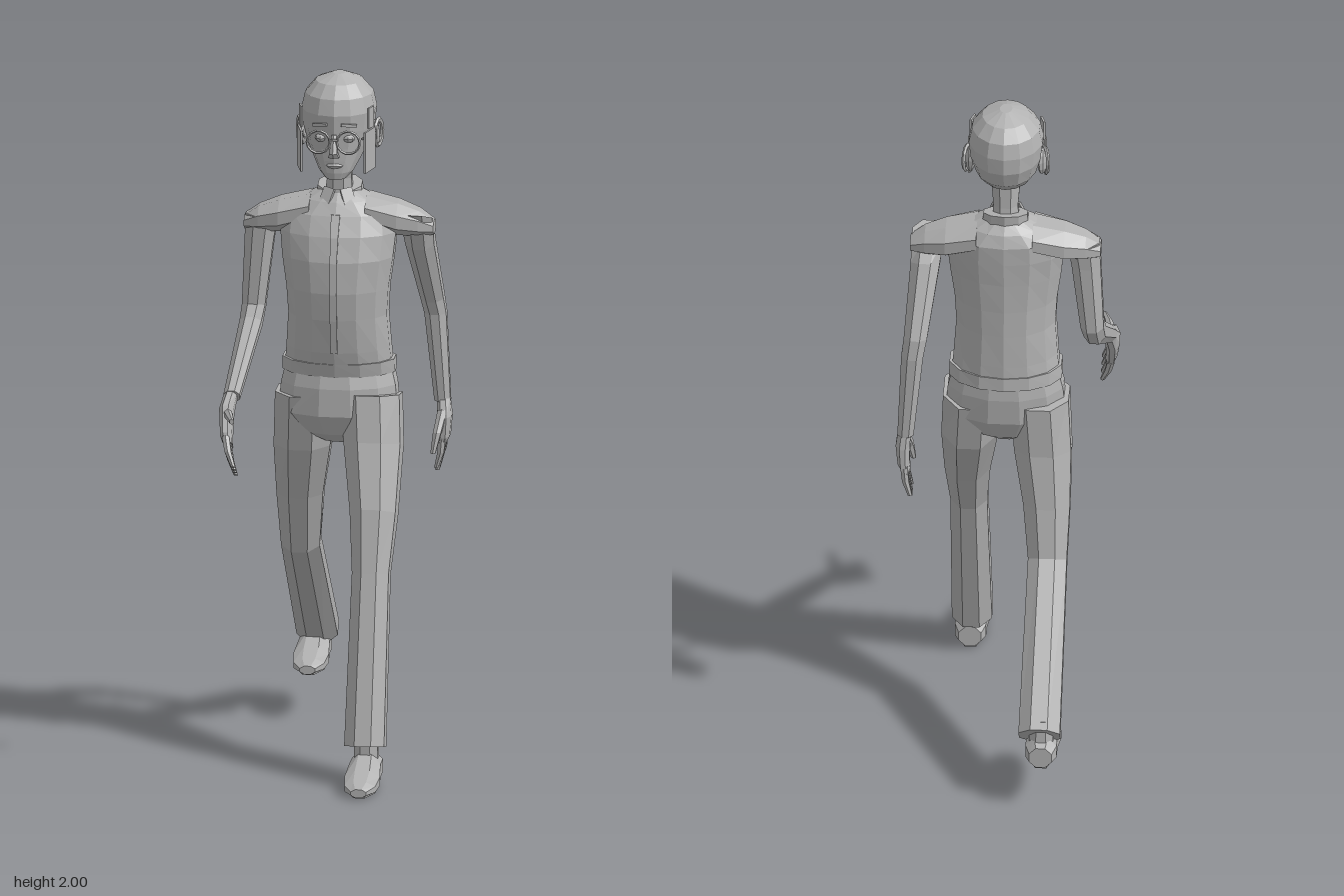
import * as THREE from 'three';

// Faceted skin over rings [x, y, z, halfX, halfZ, tilt]; tilt raises the front of the ring
function loft(rings, sides = 8) {
  const pts = rings.map(([x, y, z, a, b, tilt = 0]) =>
    Array.from({ length: sides }, (_, i) => {
      const t = ((i + 0.5) / sides) * Math.PI * 2;
      const d = b * Math.sin(t);
      return new THREE.Vector3(x + a * Math.cos(t), y + d * Math.sin(tilt), z + d * Math.cos(tilt));
    }));
  const tris = [];
  for (let r = 0; r < rings.length - 1; r++) {
    for (let i = 0; i < sides; i++) {
      const j = (i + 1) % sides;
      tris.push([pts[r][i], pts[r + 1][i], pts[r + 1][j]], [pts[r][i], pts[r + 1][j], pts[r][j]]);
    }
  }
  const last = pts[pts.length - 1];
  for (let i = 1; i < sides - 1; i++) {
    tris.push([pts[0][0], pts[0][i], pts[0][i + 1]], [last[0], last[i + 1], last[i]]);
  }
  // Turn the skin outward whichever way the rings run
  const volume = tris.reduce((v, [a, b, c]) => v + a.dot(b.clone().cross(c)), 0);
  const flat = [];
  for (const [a, b, c] of tris) {
    for (const p of volume < 0 ? [a, c, b] : [a, b, c]) flat.push(p.x, p.y, p.z);
  }
  const geo = new THREE.BufferGeometry();
  geo.setAttribute('position', new THREE.Float32BufferAttribute(flat, 3));
  geo.computeVertexNormals();
  return geo;
}

function faceted(geo) {
  const g = geo.index ? geo.toNonIndexed() : geo;
  g.computeVertexNormals();
  return g;
}

export function createModel() {
  const model = new THREE.Group();
  const grey = new THREE.MeshStandardMaterial({ color: 0xb2b2b2 });
  grey.name = 'plain grey';

  const add = (name, geo, pos = [0, 0, 0], rot = [0, 0, 0], scale = [1, 1, 1]) => {
    const mesh = new THREE.Mesh(geo, grey);
    mesh.name = name;
    mesh.position.set(...pos);
    mesh.rotation.set(...rot);
    mesh.scale.set(...scale);
    model.add(mesh);
    return mesh;
  };

  // Shirt
  add('shirt', loft([
    [0, 1.135, 0.005, 0.158, 0.11], [0, 1.2, 0.015, 0.152, 0.118], [0, 1.3, 0.025, 0.145, 0.125],
    [0, 1.38, 0.03, 0.15, 0.128], [0, 1.47, 0.027, 0.163, 0.125], [0, 1.54, 0.015, 0.17, 0.115],
    [0, 1.595, 0, 0.165, 0.1], [0, 1.63, -0.005, 0.11, 0.08], [0, 1.655, -0.005, 0.06, 0.055],
  ], 14));
  add('shirtHem', loft([
    [0, 1.125, 0.003, 0.165, 0.113], [0, 1.165, 0.01, 0.164, 0.117],
  ], 14));
  add('placket', loft([
    [0, 1.2, 0.132, 0.014, 0.006], [0, 1.3, 0.149, 0.014, 0.006], [0, 1.38, 0.157, 0.014, 0.006],
    [0, 1.47, 0.151, 0.014, 0.006], [0, 1.54, 0.129, 0.016, 0.006], [0, 1.6, 0.096, 0.018, 0.006],
  ], 4));

  // Collar and neck
  add('neck', loft([
    [0, 1.6, -0.005, 0.045, 0.04], [0, 1.69, 0.003, 0.038, 0.036], [0, 1.77, 0.015, 0.045, 0.045],
  ], 8));
  add('collar', loft([
    [0, 1.625, -0.005, 0.07, 0.06, -0.25], [0, 1.668, -0.01, 0.066, 0.058, -0.25],
    [0, 1.668, -0.01, 0.05, 0.045, -0.25],
  ], 10));
  for (const s of [1, -1]) {
    add('collarPoint', new THREE.BoxGeometry(0.035, 0.06, 0.008), [s * 0.032, 1.64, 0.058], [-0.5, s * 0.4, s * 0.35]);
  }

  // Shoulder caps
  for (const s of [1, -1]) {
    const cap = loft([
      [-s * 1.6, 0.08, -0.005, 0.045, 0.09], [-s * 1.575, 0.17, -0.002, 0.05, 0.08],
      [-s * 1.562, 0.23, 0, 0.04, 0.058], [-s * 1.55, 0.272, 0, 0.022, 0.036],
    ], 8);
    add('shoulder', cap, [0, 0, 0], [0, 0, -s * Math.PI / 2]);
  }

  // Arms: left swings back, right swings forward
  add('leftArm', loft([
    [0.222, 1.575, 0.01, 0.05, 0.05, 0.4], [0.228, 1.5, -0.025, 0.045, 0.048, -0.4],
    [0.25, 1.31, -0.13, 0.036, 0.042, -0.25], [0.258, 1.26, -0.14, 0.034, 0.038, 0],
    [0.277, 1.0, -0.148, 0.025, 0.028, 0],
  ]));
  add('rightArm', loft([
    [-0.222, 1.575, 0, 0.05, 0.05], [-0.23, 1.5, 0, 0.045, 0.046],
    [-0.247, 1.3, -0.005, 0.036, 0.042, 0.3], [-0.252, 1.255, 0.025, 0.034, 0.042, 0.7],
    [-0.277, 1.1, 0.265, 0.025, 0.027, 0.95],
  ]));

  // Left hand, hanging down
  add('leftPalm', loft([
    [0.28, 1.01, -0.146, 0.02, 0.024], [0.285, 0.96, -0.135, 0.022, 0.045],
    [0.283, 0.9, -0.138, 0.018, 0.045], [0.277, 0.88, -0.14, 0.014, 0.042],
  ]));
  for (let i = 0; i < 4; i++) {
    const z = -0.108 - i * 0.021;
    const tip = 0.81 - (i === 1 || i === 2 ? 0.012 : 0);
    add('leftFinger', loft([
      [0.28, 0.9, z, 0.012, 0.011], [0.276, 0.855, z, 0.011, 0.011], [0.263, tip, z - 0.003, 0.007, 0.007],
    ], 6));
  }
  add('leftThumb', loft([
    [0.28, 0.975, -0.115, 0.015, 0.018, 0.5], [0.27, 0.92, -0.072, 0.013, 0.015, 0.4],
    [0.26, 0.865, -0.056, 0.008, 0.009, 0.1],
  ], 6));

  // Right hand, reaching forward
  add('rightPalm', loft([
    [-0.28, 1.105, 0.257, 0.02, 0.023, 0.9], [-0.287, 1.065, 0.3, 0.022, 0.043, 0.7],
    [-0.282, 1.0, 0.345, 0.018, 0.048, 0.6], [-0.276, 0.98, 0.355, 0.014, 0.044, 0.6],
  ]));
  for (let i = 0; i < 4; i++) {
    const z = 0.38 - i * 0.02;
    const y = 1.012 - i * 0.013;
    add('rightFinger', loft([
      [-0.28, y, z, 0.012, 0.011, 0.5], [-0.271, y - 0.04, z + 0.02, 0.011, 0.011, 0.5],
      [-0.254, y - 0.08, z + 0.036, 0.007, 0.007, 0.5],
    ], 6));
  }
  add('rightThumb', loft([
    [-0.285, 1.065, 0.31, 0.014, 0.017, 1.2], [-0.272, 1.07, 0.37, 0.012, 0.014, 1.45],
    [-0.257, 1.068, 0.425, 0.007, 0.008, 1.6],
  ], 6));

  // Trousers
  add('trouserSeat', loft([
    [0, 1.15, 0.003, 0.155, 0.105], [0, 1.09, 0.008, 0.17, 0.116],
    [0, 1.01, 0.012, 0.178, 0.115], [0, 0.95, 0.01, 0.12, 0.085], [0, 0.92, 0.01, 0.05, 0.045],
  ], 12));
  add('leftTrouserLeg', loft([
    [0.095, 1.06, 0.02, 0.09, 0.112, 0.15], [0.104, 0.92, 0.055, 0.088, 0.118, 0.25],
    [0.117, 0.74, 0.152, 0.071, 0.095, 0.35], [0.118, 0.58, 0.22, 0.057, 0.07, 0.25],
    [0.117, 0.105, 0.35, 0.062, 0.074, 0.22],
  ]));
  add('rightTrouserLeg', loft([
    [-0.098, 1.06, 0, 0.09, 0.11], [-0.108, 0.9, -0.025, 0.088, 0.09, -0.1],
    [-0.122, 0.74, -0.075, 0.072, 0.066, -0.15], [-0.127, 0.58, -0.125, 0.06, 0.055, -0.55],
    [-0.127, 0.222, -0.505, 0.064, 0.06, -0.85],
  ]));

  // Ankles and shoes
  const foot = (side, x, y, z) => {
    add(side + 'Ankle', loft([
      [x, y + 0.15, z + 0.055, 0.035, 0.037], [x, y + 0.05, z + 0.05, 0.038, 0.04],
    ]));
    add(side + 'Shoe', loft([
      [x, y + 0.042, z, 0.035, 0.034, Math.PI / 2], [x, y + 0.047, z + 0.03, 0.048, 0.05, Math.PI / 2],
      [x, y + 0.046, z + 0.085, 0.048, 0.05, Math.PI / 2], [x, y + 0.031, z + 0.15, 0.055, 0.033, Math.PI / 2],
      [x, y + 0.022, z + 0.205, 0.048, 0.022, Math.PI / 2], [x, y + 0.017, z + 0.24, 0.024, 0.013, Math.PI / 2],
    ]));
    add(side + 'Sole', loft([
      [x, y, z + 0.12, 0.042, 0.115], [x, y + 0.014, z + 0.12, 0.045, 0.118],
    ], 8));
  };
  foot('left', 0.122, 0, 0.31);
  foot('right', -0.132, 0.13, -0.545);

  // Head
  add('head', loft([
    [0, 1.71, 0.088, 0.03, 0.035], [0, 1.73, 0.07, 0.05, 0.058], [0, 1.765, 0.04, 0.07, 0.09],
    [0, 1.8, 0.02, 0.088, 0.11], [0, 1.85, 0.012, 0.102, 0.122], [0, 1.9, 0.013, 0.108, 0.125],
    [0, 1.945, 0.012, 0.098, 0.113], [0, 1.98, 0.012, 0.068, 0.08], [0, 2.0, 0.012, 0.018, 0.025],
  ], 14));
  add('nose', loft([
    [0, 1.845, 0.132, 0.008, 0.008], [0, 1.795, 0.146, 0.013, 0.019], [0, 1.78, 0.137, 0.018, 0.015],
  ], 6));
  add('lips', faceted(new THREE.OctahedronGeometry(1, 1)), [0, 1.752, 0.122], [0, 0, 0], [0.025, 0.01, 0.012]);

  for (const s of [1, -1]) {
    add('ear', faceted(new THREE.SphereGeometry(1, 8, 6)), [s * 0.104, 1.825, 0.02], [0.1, s * 0.35, 0], [0.013, 0.042, 0.026]);
    add('earRim', faceted(new THREE.TorusGeometry(0.026, 0.006, 5, 10)), [s * 0.113, 1.828, 0.018], [0, Math.PI / 2 - s * 0.3, 0], [1, 1.45, 1]);
    add('eye', faceted(new THREE.SphereGeometry(0.015, 8, 6)), [s * 0.04, 1.832, 0.116], [0, 0, 0], [1.2, 0.8, 1]);
    add('eyebrow', new THREE.BoxGeometry(0.045, 0.008, 0.009), [s * 0.042, 1.873, 0.128], [0, s * 0.35, -s * 0.1]);
    // Side panels framing the face
    add('facePanel', new THREE.BoxGeometry(0.006, 0.12, 0.08), [s * 0.1, 1.8, 0.117], [0, -s * 0.25, 0]);
    add('upperPanel', new THREE.BoxGeometry(0.006, 0.06, 0.035), [s * 0.1, 1.89, 0.09], [0, -s * 0.3, 0]);
    // Spectacles
    add('spectacleRim', faceted(new THREE.TorusGeometry(0.033, 0.0035, 4, 14)), [s * 0.043, 1.828, 0.15]);
    add('spectacleTemple', new THREE.BoxGeometry(0.004, 0.006, 0.13), [s * 0.098, 1.84, 0.087], [0, -s * 0.25, 0]);
  }
  add('spectacleBridge', new THREE.BoxGeometry(0.024, 0.005, 0.005), [0, 1.835, 0.152]);

  return model;
}
